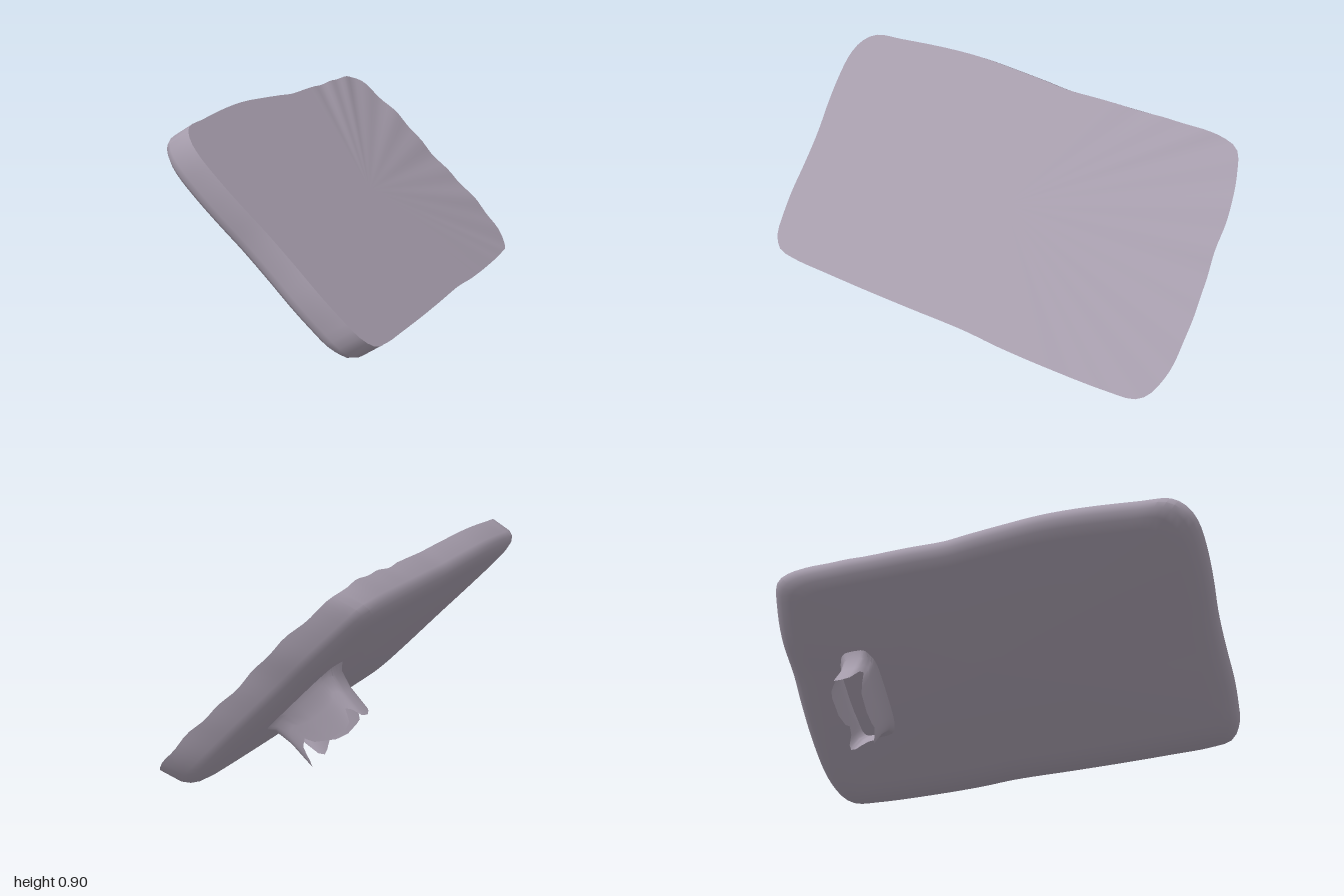
import * as THREE from 'three';
import { toCreasedNormals } from 'three/addons/utils/BufferGeometryUtils.js';

// Tilted frame of the slab: a runs along its length, b up its face, d goes behind the face
const CENTRE = new THREE.Vector3(0.05, 0.48, 0.005);
const N = new THREE.Vector3(0.317, 0.70, 0.613).normalize();
const V = N.clone().cross(new THREE.Vector3(1.61, -0.05, -0.76)).normalize();
const U = V.clone().cross(N);
const place = (a, b, d) => CENTRE.clone().addScaledVector(U, a).addScaledVector(V, b).addScaledVector(N, -d);

// Skins closed rings of points, optionally closing the first and last with a fan
function skin(rings, first, last) {
  const n = rings[0].length, pts = rings.flat(), index = [];
  for (let r = 0; r < rings.length - 1; r++) {
    for (let i = 0; i < n; i++) {
      const j = (i + 1) % n, p = r * n, q = p + n;
      index.push(p + i, q + i, q + j, p + i, q + j, p + j);
    }
  }
  if (first) {
    const c = pts.push(first) - 1;
    for (let i = 0; i < n; i++) index.push(c, i, (i + 1) % n);
  }
  if (last) {
    const c = pts.push(last) - 1, p = (rings.length - 1) * n;
    for (let i = 0; i < n; i++) index.push(c, p + (i + 1) % n, p + i);
  }
  const g = new THREE.BufferGeometry().setFromPoints(pts);
  g.setIndex(index);
  return g;
}

// Uneven outline of the face, as seen from the front (x, y)
const OUTLINE = [
  [-0.963, 0.80], [-0.957, 0.85], [-0.92, 0.882], [-0.8, 0.89], [-0.6, 0.898], [-0.45, 0.897], [-0.3, 0.887],
  [-0.15, 0.875], [-0.05, 0.866], [0.1, 0.864], [0.25, 0.86], [0.4, 0.857], [0.6, 0.845], [0.67, 0.82],
  [0.73, 0.75], [0.8, 0.64], [0.85, 0.52], [0.9, 0.42], [0.95, 0.31], [0.99, 0.2], [1, 0.14],
  [0.99, 0.088], [0.958, 0.063], [0.85, 0.058], [0.6, 0.064], [0.4, 0.074], [0.25, 0.086], [0, 0.095],
  [-0.2, 0.103], [-0.4, 0.113], [-0.55, 0.122], [-0.64, 0.138], [-0.695, 0.18], [-0.73, 0.24],
  [-0.768, 0.32], [-0.805, 0.42], [-0.85, 0.53], [-0.895, 0.62], [-0.935, 0.71],
];

function slabGeometry() {
  // Drop the outline onto the tilted plane and express it in a, b
  const flat = OUTLINE.map(([x, y]) => {
    const z = -(N.x * (x - CENTRE.x) + N.y * (y - CENTRE.y)) / N.z;
    const p = new THREE.Vector3(x - CENTRE.x, y - CENTRE.y, z);
    return new THREE.Vector3(p.dot(U), p.dot(V), 0);
  }).reverse();
  const rim = new THREE.CatmullRomCurve3(flat, true).getSpacedPoints(160).slice(0, 160);
  // Depth and inset of each ring: sharp front edge, leaning walls, rounded back edge
  const rings = [[0, 0], [0.09, 0], [0.117, 0.01], [0.135, 0.028], [0.147, 0.06], [0.152, 0.1]].map(([d, inset], r) =>
    rim.map((p, i) => {
      // Slight waviness of the face towards its right end
      const wave = r === 0 && p.x > 0.3 ? 0.007 * Math.sin(i * 0.8) * Math.sin(i * 0.37) : 0;
      const a = p.x * (1 - inset / 0.9) - d * (0.2 + 0.15 * p.x);
      const b = p.y * (1 - inset / 0.52) + d * 0.22;
      return place(a, b, d + wave);
    }));
  return toCreasedNormals(skin(rings, place(0, 0, 0), place(0, 0, 0.153)), 0.6);
}

// Broken, hollow stub on the back, flared at its foot and ragged at its end
function stubGeometry() {
  const tips = [0.35, 0.36, 0.35, 0.30, 0.32, 0.36, 0.37, 0.35, 0.27, 0.25, 0.31, 0.36,
    0.37, 0.34, 0.36, 0.37, 0.35, 0.28, 0.29, 0.36, 0.38, 0.36, 0.30, 0.28];
  const n = 48;
  const rings = [[0, 1.3], [0.15, 1.1], [0.5, 1], [1, 0.98]].map(([t, s]) =>
    Array.from({ length: n }, (_, i) => {
      const w = (i / n) * Math.PI * 2, c = Math.cos(w), k = Math.sin(w);
      const tip = (tips[i >> 1] + tips[((i + 1) >> 1) % tips.length]) / 2;
      // Rounded rectangle section
      const a = 0.55 + 0.07 * s * Math.sign(c) * Math.sqrt(Math.abs(c));
      const b = -0.01 + 0.165 * s * Math.sign(k) * Math.sqrt(Math.abs(k));
      return place(a, b, 0.145 + (tip - 0.145) * t);
    }));
  return toCreasedNormals(skin(rings), 0.7);
}

export function createModel() {
  const group = new THREE.Group();
  group.name = 'tiltedSlab';
  const color = 0xa59cab;
  const slab = new THREE.Mesh(slabGeometry(), new THREE.MeshStandardMaterial({ color }));
  slab.name = 'slab';
  const stub = new THREE.Mesh(stubGeometry(), new THREE.MeshStandardMaterial({ color, side: THREE.DoubleSide }));
  stub.name = 'brokenStub';
  group.add(slab, stub);
  return group;
}
